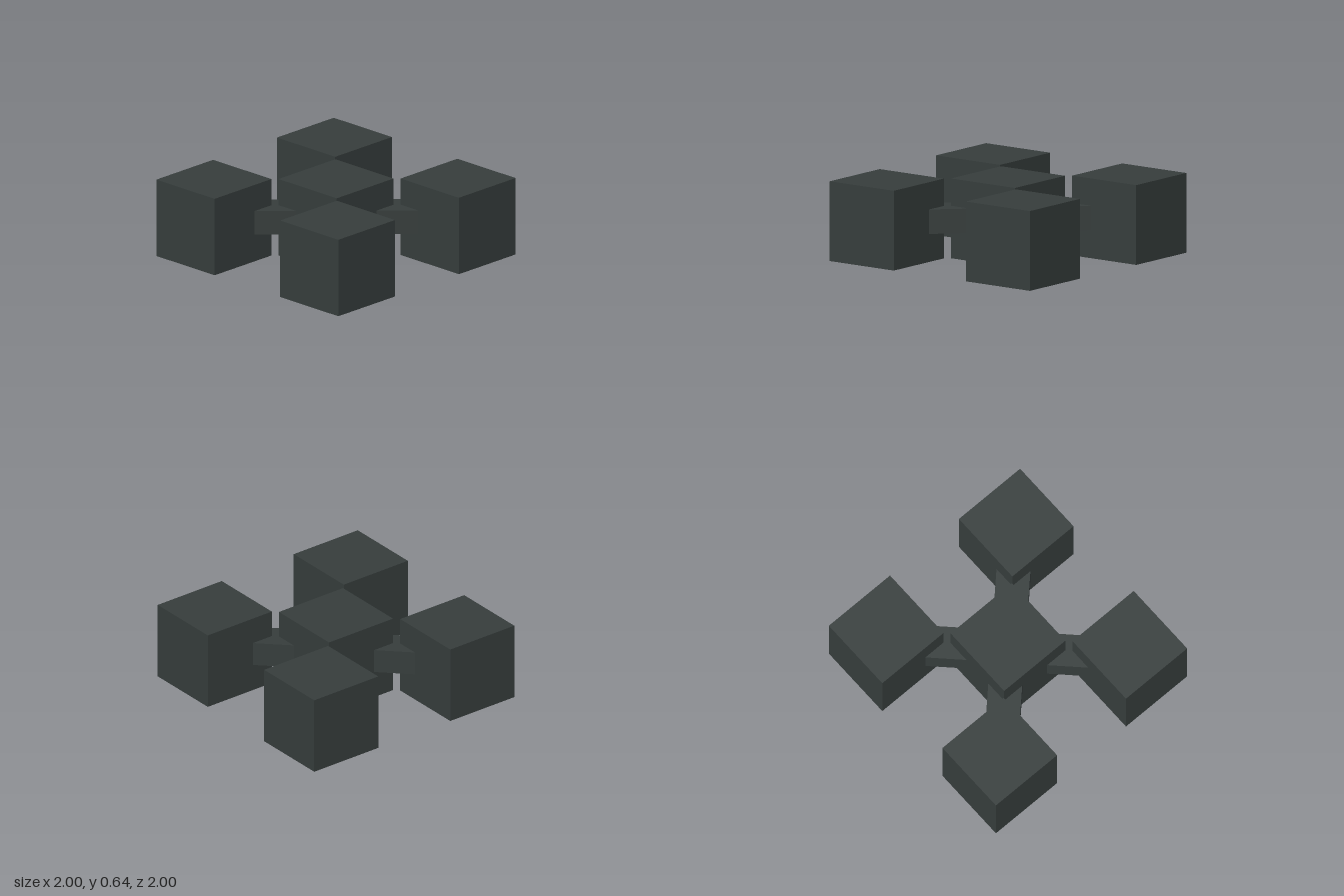
import * as THREE from 'three';

const SIZE = 0.64;      // cube edge
const OFFSET = 0.68;    // outer cube centre along x and z

export function createModel() {
  const group = new THREE.Group();
  const darkSlate = new THREE.MeshStandardMaterial({ color: 0x363d3c });
  darkSlate.name = 'darkSlate';

  const cubeGeometry = new THREE.BoxGeometry(SIZE, SIZE, SIZE);
  const strutGeometry = new THREE.BoxGeometry(0.5, 0.196, 0.268);

  const add = (name, geometry, x, y, z, turn = 0) => {
    const mesh = new THREE.Mesh(geometry, darkSlate);
    mesh.name = name;
    mesh.position.set(x, y, z);
    mesh.rotation.y = turn;
    group.add(mesh);
  };

  // Central hub
  add('centreCube', cubeGeometry, 0, SIZE / 2, 0);

  // Four corner cubes, each joined to the hub by a diagonal strut
  for (const [sx, side] of [[1, 'Left'], [-1, 'Right']]) {
    for (const [sz, end] of [[1, 'front'], [-1, 'back']]) {
      add(`${end}${side}Cube`, cubeGeometry, sx * OFFSET, SIZE / 2, sz * OFFSET);
      add(`${end}${side}Strut`, strutGeometry, sx * 0.354, 0.323, sz * 0.354, -sx * sz * Math.PI / 4);
    }
  }
  return group;
}
